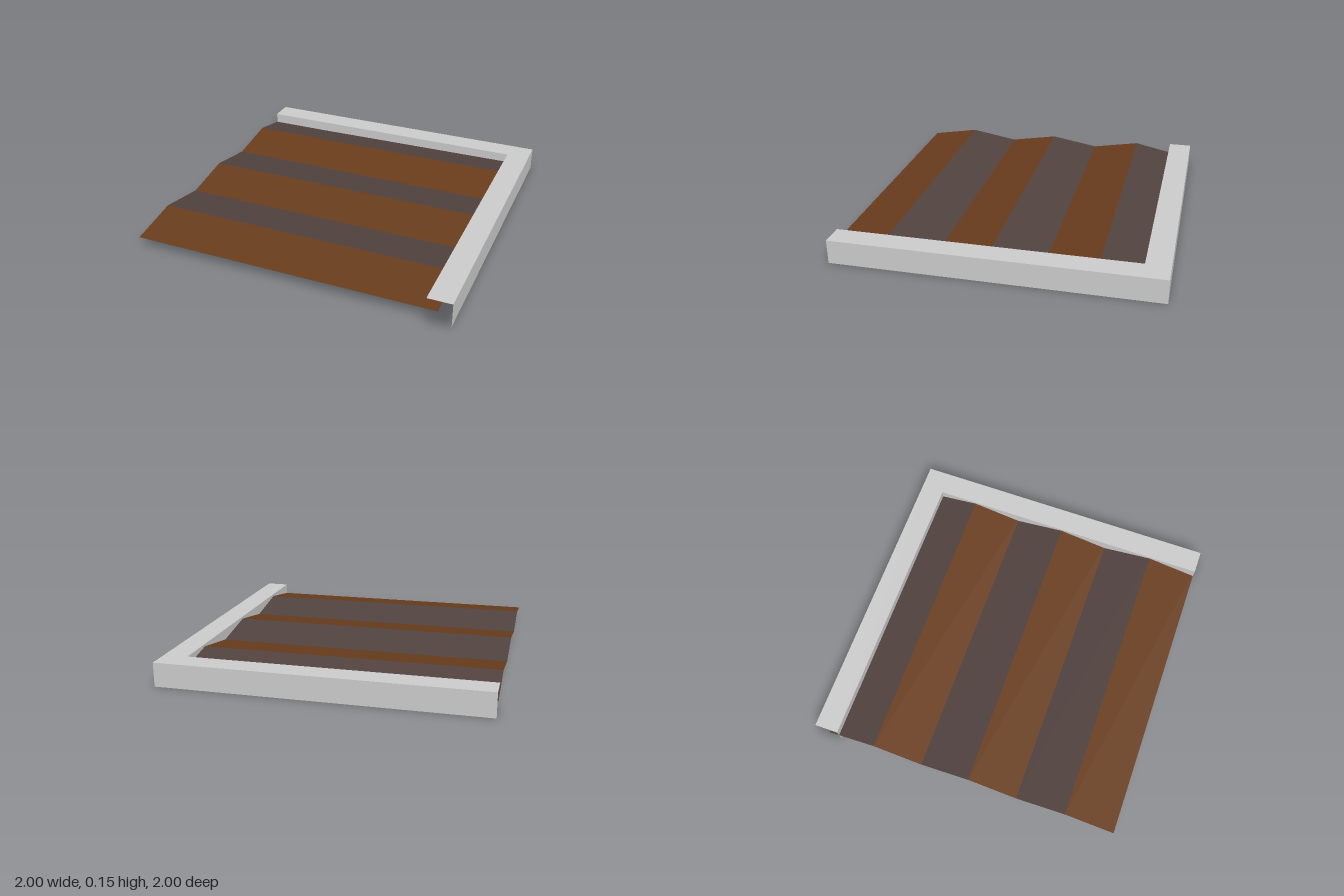
import * as THREE from 'three';

const H = 0.15;      // square section of the frame beams
const INNER = 1 - H; // inner face of the beams

export function createModel() {
  const model = new THREE.Group();
  const grey = new THREE.MeshStandardMaterial({ color: 0xcccccc });
  const paint = (color) => new THREE.MeshStandardMaterial({ color, side: THREE.DoubleSide, flatShading: true });
  const brown = paint(0x683c1c);
  const dark = paint(0x51423f);

  const add = (parent, name, geometry, material) => {
    const mesh = new THREE.Mesh(geometry, material);
    mesh.name = name;
    parent.add(mesh);
    return mesh;
  };

  // L-shaped hollow frame, open at both free ends
  const frame = new THREE.Group();
  frame.name = 'cornerFrame';
  model.add(frame);

  // s = 1 faces up, s = -1 faces down
  const lShape = (s) => new THREE.Shape(
    [[-1, 1], [-1, INNER], [INNER, INNER], [INNER, -1], [1, -1], [1, 1]]
      .map(([x, y]) => new THREE.Vector2(x, y * s)));
  add(frame, 'frameTop', new THREE.ShapeGeometry(lShape(1)).rotateX(-Math.PI / 2), grey).position.y = H;
  add(frame, 'frameBottom', new THREE.ShapeGeometry(lShape(-1)).rotateX(Math.PI / 2), grey);

  // Upright walls: name, turn about y, x, z
  const walls = [
    ['outerSideWall', Math.PI / 2, 1, 0],
    ['innerSideWall', -Math.PI / 2, INNER, 0],
    ['outerBackWall', Math.PI, 0, -1],
    ['innerBackWall', 0, 0, -INNER],
  ];
  for (const [name, turn, x, z] of walls) {
    add(frame, name, new THREE.PlaneGeometry(2, H).rotateY(turn), grey).position.set(x, H / 2, z);
  }

  // Corrugated sheet: six sloping strips, alternating in colour
  const sheet = new THREE.Group();
  sheet.name = 'corrugatedSheet';
  model.add(sheet);
  const x0 = -1, x1 = 0.92, z0 = -0.92, step = 0.32, low = 0.08, high = 0.135;
  const height = (i) => (i % 2 ? high : low);
  const leftHeight = (i) => (i === 0 ? 0.068 : height(i)); // one corner sags slightly
  for (let i = 0; i < 6; i++) {
    const za = z0 + i * step, zb = za + step;
    const a = [x0, leftHeight(i), za], b = [x0, leftHeight(i + 1), zb];
    const c = [x1, height(i + 1), zb], d = [x1, height(i), za];
    const strip = new THREE.BufferGeometry();
    strip.setAttribute('position', new THREE.Float32BufferAttribute([a, b, c, a, c, d].flat(), 3));
    strip.computeVertexNormals();
    add(sheet, i % 2 ? 'frontSlope' : 'backSlope', strip, i % 2 ? brown : dark);
  }

  return model;
}
